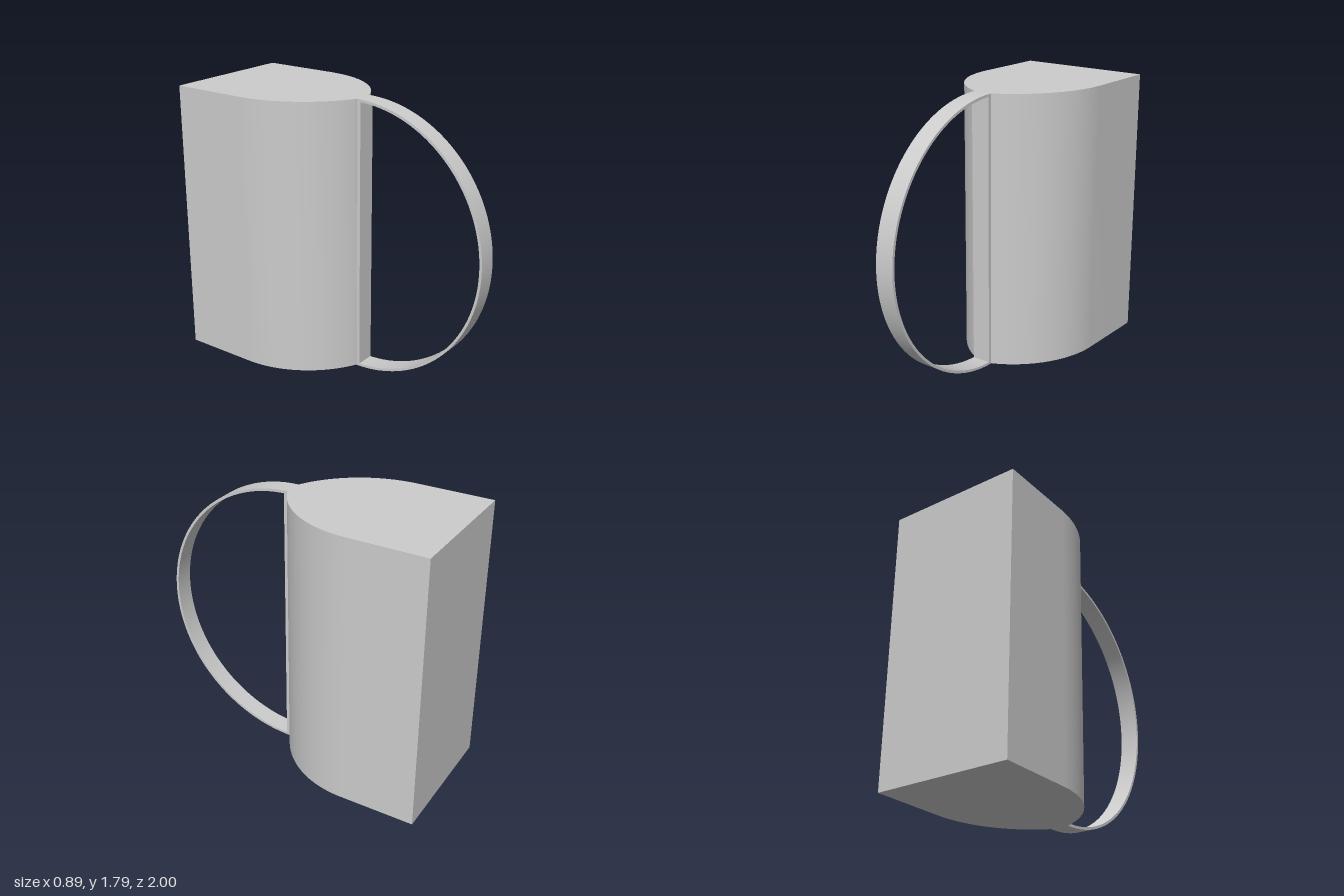
import * as THREE from 'three';
import { toCreasedNormals } from 'three/addons/utils/BufferGeometryUtils.js';

const HEIGHT = 1.79;
const HALF_WIDTH = 0.445;
const BACK = -1;
const FRONT = 0.105;
const STRAP = 0.126; // width of the handle strap

export function createModel() {
  const group = new THREE.Group();
  const material = new THREE.MeshStandardMaterial({ color: 0xcccccc });

  const add = (name, geometry) => {
    const mesh = new THREE.Mesh(toCreasedNormals(geometry, 0.5), material);
    mesh.name = name;
    group.add(mesh);
    return mesh;
  };

  // Body: square back, sides closing to a narrow front in two arcs.
  // Shape y is -z, so the extrusion stands upright after the turn.
  const radius = 0.668;
  const arcZ = -0.5;
  const end = Math.asin((FRONT - arcZ) / radius);
  const outline = new THREE.Shape();
  outline.moveTo(HALF_WIDTH, -BACK);
  outline.lineTo(-HALF_WIDTH, -BACK);
  outline.absarc(radius - HALF_WIDTH, -arcZ, radius, Math.PI, Math.PI + end, false);
  outline.absarc(HALF_WIDTH - radius, -arcZ, radius, -end, 0, false);
  outline.closePath();
  const body = new THREE.ExtrudeGeometry(outline, { depth: HEIGHT, bevelEnabled: false, curveSegments: 32 });
  body.rotateX(-Math.PI / 2);
  add('body', body);

  // Handle: thin half ring in the z-y plane
  const outer = HEIGHT / 2;
  const ring = new THREE.Shape();
  ring.absarc(0, 0, outer, -Math.PI / 2, Math.PI / 2, false);
  ring.absarc(0, 0, outer - 0.017, Math.PI / 2, -Math.PI / 2, true);
  ring.closePath();
  const handle = new THREE.ExtrudeGeometry(ring, { depth: STRAP, bevelEnabled: false, curveSegments: 48 });
  handle.translate(0, 0, -STRAP / 2);
  handle.rotateY(-Math.PI / 2);
  add('handle', handle).position.set(0, outer, FRONT);

  // Mounting strip that closes the handle against the body
  const strip = new THREE.BoxGeometry(STRAP, HEIGHT - 0.034, 0.025);
  add('mountingStrip', strip).position.set(0, HEIGHT / 2, FRONT + 0.0125);

  return group;
}
